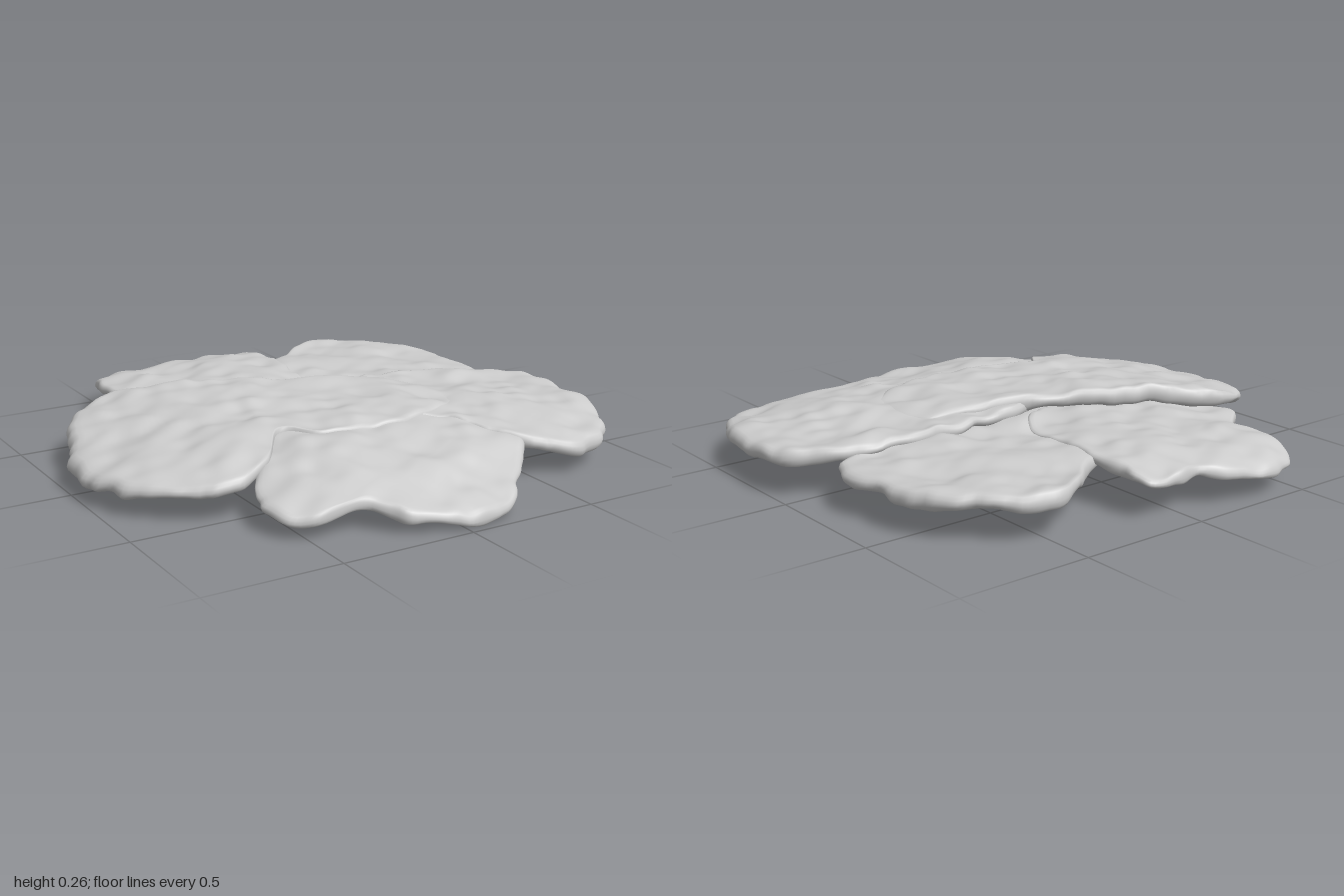
import * as THREE from 'three';
import { mergeVertices } from 'three/addons/utils/BufferGeometryUtils.js';

const SEGMENTS = 200, RINGS = 28, RIM_STEPS = 6, RIM = 0.05;
const pos2 = (v) => Math.max(0, v) ** 2;

// Seeded value noise for the weathered stone surface
function hash(i, j, seed) {
  const s = Math.sin(i * 127.1 + j * 311.7 + seed * 74.7) * 43758.5453;
  return s - Math.floor(s);
}
function noise(x, z, seed) {
  const i = Math.floor(x), j = Math.floor(z);
  const fade = (t) => t * t * (3 - 2 * t);
  const u = fade(x - i), v = fade(z - j);
  const a = THREE.MathUtils.lerp(hash(i, j, seed), hash(i + 1, j, seed), u);
  const b = THREE.MathUtils.lerp(hash(i, j + 1, seed), hash(i + 1, j + 1, seed), u);
  return THREE.MathUtils.lerp(a, b, v) * 2 - 1;
}
// Sampled on turned axes so the lumps do not line up with x and z
const bumps = (x, z, seed) =>
  0.013 * noise(x * 6 + z * 4, z * 7 - x * 4, seed)
  + 0.008 * noise(x * 13 - z * 7, z * 13 + x * 7, seed + 5);

// Section from the top centre, over a rounded rim, to the bottom centre: [radius, depth]
function sectionProfile() {
  const rows = [];
  for (let j = 0; j < RINGS; j++) rows.push([(1 - RIM) * j / RINGS, 0]);
  for (let j = 0; j <= RIM_STEPS; j++) {
    const a = Math.PI * j / RIM_STEPS;
    rows.push([1 - RIM + RIM * Math.sin(a), (1 - Math.cos(a)) / 2]);
  }
  for (let j = RINGS - 1; j >= 0; j--) rows.push([(1 - RIM) * j / RINGS, 1]);
  return rows;
}

// Outline runs clockwise seen from above, as [x, z]; top(x, z) is the upper surface height
function slabGeometry(outline, thickness, top, seed) {
  const corners = outline.map(([x, z]) => new THREE.Vector3(x, 0, z));
  const center = new THREE.Vector3();
  corners.forEach((p) => center.addScaledVector(p, 1 / corners.length));
  // Smooth outline with a chipped edge
  const curve = new THREE.CatmullRomCurve3(corners, true, 'centripetal');
  const edge = curve.getSpacedPoints(SEGMENTS).slice(0, SEGMENTS).map((p) => {
    const chip = 1 + 0.025 * noise(p.x * 11, p.z * 11, seed + 20)
      + 0.012 * noise(p.x * 25, p.z * 25, seed + 30);
    return p.sub(center).multiplyScalar(chip);
  });
  const rows = sectionProfile(), positions = [], index = [];
  rows.forEach(([t, depth], j) => {
    const drop = thickness * depth * (1 - 0.3 * t * t);
    edge.forEach((e, i) => {
      const x = center.x + e.x * t, z = center.z + e.z * t;
      const rough = (1 - depth) * bumps(x, z, 3) + depth * bumps(x, z, 43);
      positions.push(x, top(x, z) - drop + rough, z);
      if (j === rows.length - 1) return;
      const n = (i + 1) % SEGMENTS, a = j * SEGMENTS, b = a + SEGMENTS;
      if (j > 0) index.push(a + i, a + n, b + n);
      if (j < rows.length - 2) index.push(a + i, b + n, b + i);
    });
  });
  const geometry = new THREE.BufferGeometry();
  geometry.setAttribute('position', new THREE.Float32BufferAttribute(positions, 3));
  geometry.setIndex(index);
  const merged = mergeVertices(geometry, 1e-5);
  merged.computeVertexNormals();
  return merged;
}

export function createModel() {
  const group = new THREE.Group();
  group.name = 'stoneSlabs';
  const stone = new THREE.MeshStandardMaterial({ color: 0xcccccc });
  const addSlab = (name, thickness, outline, top) => {
    const geometry = slabGeometry(outline, thickness, top, group.children.length + 1);
    const mesh = new THREE.Mesh(geometry, stone);
    mesh.name = name;
    group.add(mesh);
  };

  // Large slab lying across the others, its right end sinking into the right slab
  addSlab('leftSlab', 0.085,
    [[-0.75, -0.47], [-0.38, -0.34], [0.05, -0.15], [0.42, 0], [0.47, 0.24], [0.2, 0.39],
      [-0.2, 0.38], [-0.34, 0.3], [-0.48, 0.46], [-0.66, 0.52], [-0.85, 0.38], [-1, 0.1],
      [-0.92, -0.22]],
    (x, z) => 0.238 - 0.21 * pos2(-x - 0.2) - 0.25 * pos2(x - 0.1) - 0.03 * z
      - 0.3 * pos2(z - 0.2));

  addSlab('rightSlab', 0.072,
    [[0.02, -0.13], [0.24, -0.17], [0.72, -0.11], [0.95, 0.02], [1, 0.25], [0.91, 0.57],
      [0.68, 0.74], [0.46, 0.66], [0.25, 0.42], [-0.2, 0.13]],
    (x, z) => 0.215 - 0.055 * x * x - 0.25 * pos2(z - 0.2));

  // Front slab, drooping to the ground
  addSlab('frontSlab', 0.062,
    [[-0.6, 0.64], [-0.35, 0.28], [0.1, 0.15], [0.5, 0.4], [0.46, 0.66], [0.31, 0.82],
      [0.2, 0.93], [0.03, 0.965], [-0.2, 0.91], [-0.3, 0.81], [-0.5, 0.79]],
    (x, z) => 0.21 - 0.31 * pos2(z - 0.25) - 0.5 * pos2(-x - 0.25) - 0.1 * pos2(x));

  addSlab('backLeftSlab', 0.062,
    [[-0.67, -0.52], [-0.57, -0.62], [-0.56, -0.82], [-0.48, -0.96], [-0.2, -0.98],
      [-0.07, -0.92], [0.13, -0.9], [0.16, -0.55], [0.1, -0.22], [-0.2, -0.12], [-0.62, -0.4]],
    (x, z) => 0.185 - 0.7 * pos2(-z - 0.68) - 0.1 * pos2(-x));

  // Lowest slab, its tail running under the middle
  addSlab('backRightSlab', 0.07,
    [[0.18, -0.67], [0.42, -0.84], [0.58, -0.83], [0.79, -0.62], [0.86, -0.4], [0.84, -0.13],
      [-0.2, 0.06], [-0.47, 0.06], [-0.45, -0.32]],
    (x, z) => 0.175 - 0.06 * pos2(x - 0.2) - 0.06 * pos2(0.2 - x) - 0.1 * pos2(-z - 0.5));

  // Rest on the ground, centred
  const box = new THREE.Box3().setFromObject(group);
  const mid = box.getCenter(new THREE.Vector3());
  group.children.forEach((m) => m.geometry.translate(-mid.x, -box.min.y, -mid.z));
  return group;
}
